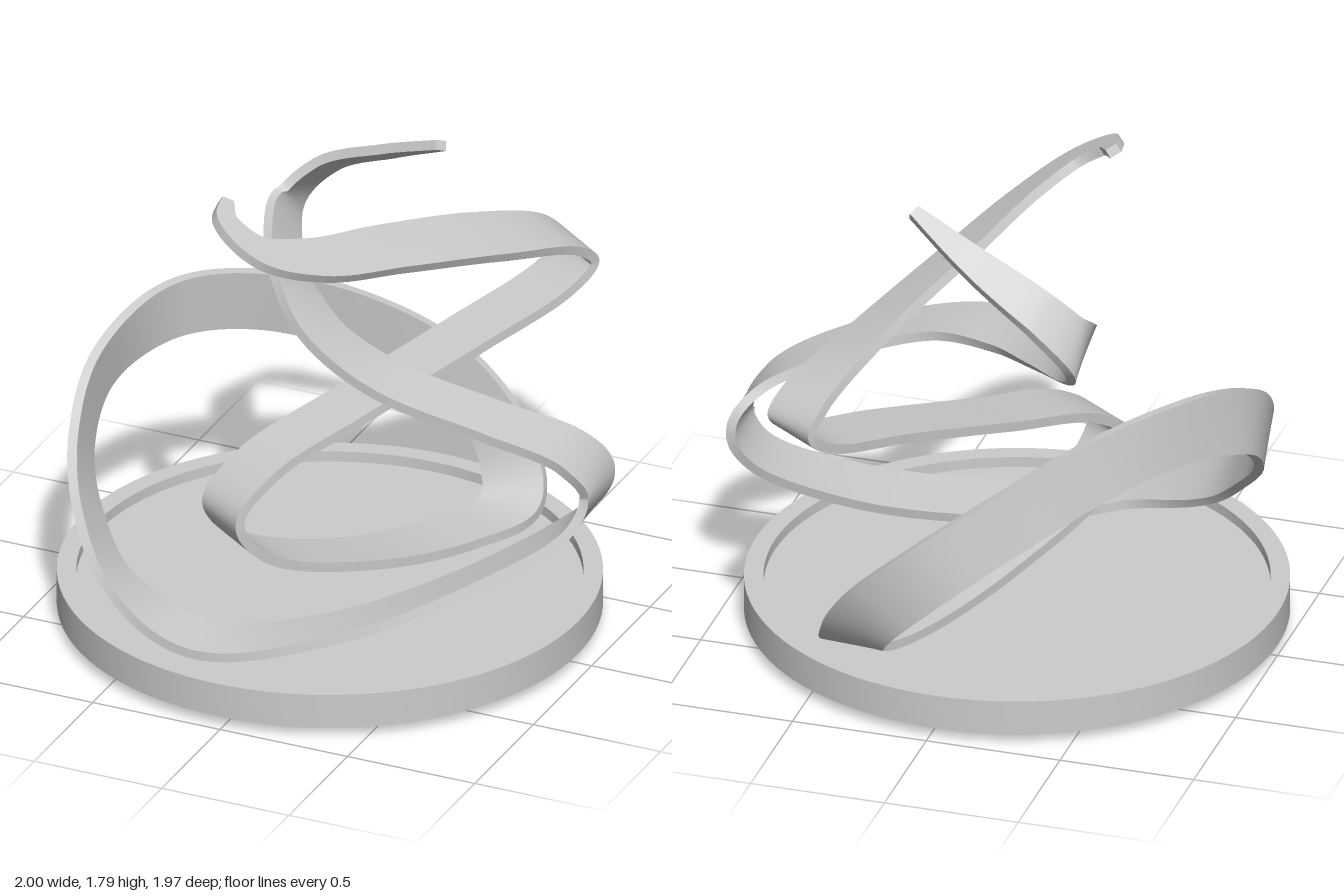
import * as THREE from 'three';
import { toCreasedNormals } from 'three/addons/utils/BufferGeometryUtils.js';

// Centre line of the ribbon, from one free tip to the other
const path = [
  [-0.28, 1.75, 0.34], [-0.235, 1.72, 0.435], [-0.1, 1.635, 0.445], [0.04, 1.55, 0.27],
  [0.18, 1.465, -0.07], [0.36, 1.35, -0.5], [0.5, 1.225, -0.84], [0.53, 1.14, -0.91],
  [0.48, 1.06, -0.82], [0.3, 0.96, -0.48], [0.05, 0.83, -0.05], [-0.16, 0.71, 0.32],
  [-0.235, 0.57, 0.46], [-0.17, 0.4, 0.36], [0.04, 0.24, 0], [0.25, 0.165, -0.42],
  [0.37, 0.195, -0.69], [0.27, 0.37, -0.83], [0.06, 0.57, -0.855], [-0.19, 0.75, -0.74],
  [-0.5, 0.92, -0.48], [-0.74, 0.965, -0.19], [-0.86, 0.86, 0.12], [-0.84, 0.68, 0.35],
  [-0.735, 0.5, 0.525], [-0.56, 0.32, 0.655], [-0.22, 0.185, 0.715], [0.2, 0.2, 0.47],
  [0.65, 0.365, 0.14], [0.92, 0.55, -0.05], [0.98, 0.69, -0.09], [0.9, 0.83, -0.02],
  [0.65, 0.955, 0.1], [0.3, 1.06, 0.165], [0, 1.125, 0.06], [-0.19, 1.185, -0.1],
  [-0.345, 1.265, -0.3], [-0.39, 1.37, -0.455], [-0.27, 1.505, -0.5], [0, 1.645, -0.44],
  [0.25, 1.765, -0.35],
];

// Direction across the ribbon at each point of the centre line
const across = [
  [0.85, -0.53, -0.3], [0.5, -0.3, -0.8], [-0.1, 0.06, -1], [-0.7, 0.43, -0.6],
  [-0.8, 0.42, -0.4], [-0.83, 0.35, -0.4], [-0.84, 0.12, -0.52], [-0.82, 0, -0.57],
  [-0.82, 0, -0.57], [-0.82, 0, -0.57], [-0.82, 0, -0.57], [-0.82, 0, -0.57],
  [-0.82, 0, -0.57], [-0.82, 0, -0.57], [-0.9, 0, -0.4], [-1, 0, -0.2],
  [-1, -0.1, 0.1], [-0.8, -0.5, 0], [-0.6, -0.75, 0.1], [-0.4, -0.9, 0.1],
  [-0.2, -1, 0], [-0.05, -1, -0.1], [-0.05, -0.8, -0.6], [-0.1, -0.55, -0.8],
  [-0.15, -0.3, -0.93], [-0.15, -0.2, -0.95], [-0.05, 0, -1], [-0.4, -0.1, -0.9],
  [-0.45, -0.2, -0.86], [-0.1, 0, -1], [0, 0, -1], [0, 0, -1],
  [0, 0, -1], [0, 0, -1], [0.3, -0.25, -0.9], [0.4, -0.5, -0.6],
  [0.2, -0.65, -0.6], [0.02, -0.5, -0.87], [0, -0.5, -0.87], [0.1, -0.5, -0.85],
  [0.1, -0.5, -0.85],
];

const toCurve = (list, type) =>
  new THREE.CatmullRomCurve3(list.map((p) => new THREE.Vector3(...p)), false, type);

// Rectangular section swept along the path, narrowing at both tips
function ribbonGeometry(steps, fullWidth, tipWidth, thickness) {
  const centre = toCurve(path, 'centripetal');
  const side = toCurve(across, 'catmullrom');
  const last = path.length - 1;
  const rings = [];
  for (let i = 0; i <= steps; i++) {
    const t = i / steps;
    const c = centre.getPoint(t);
    const tangent = centre.getTangent(t);
    const w = side.getPoint(t);
    w.addScaledVector(tangent, -w.dot(tangent)).normalize();
    const n = new THREE.Vector3().crossVectors(tangent, w);
    const fromTip = Math.min(t * last / 6, (1 - t) * last / 4, 1);
    const half = (tipWidth + (fullWidth - tipWidth) * Math.sin(fromTip * Math.PI / 2)) / 2;
    rings.push([[-1, -1], [1, -1], [1, 1], [-1, 1]].map(([a, b]) =>
      c.clone().addScaledVector(w, a * half).addScaledVector(n, b * thickness / 2)));
  }
  const positions = [];
  const index = [];
  const add = (v) => positions.push(v.x, v.y, v.z) / 3 - 1;
  // Each of the four sides has its own vertices, so the long edges stay sharp
  for (let k = 0; k < 4; k++) {
    rings.forEach((ring, i) => {
      const a = add(ring[k]);
      const b = add(ring[(k + 1) % 4]);
      if (i > 0) index.push(a - 2, b - 2, b, a - 2, b, a);
    });
  }
  // Tip caps
  const start = rings[0].map(add);
  index.push(start[0], start[2], start[1], start[0], start[3], start[2]);
  const end = rings[steps].map(add);
  index.push(end[0], end[1], end[2], end[0], end[2], end[3]);
  const g = new THREE.BufferGeometry();
  g.setAttribute('position', new THREE.Float32BufferAttribute(positions, 3));
  g.setIndex(index);
  g.computeVertexNormals();
  return g;
}

export function createModel() {
  const model = new THREE.Group();
  const grey = new THREE.MeshStandardMaterial({ color: 0xcccccc, side: THREE.DoubleSide });

  // Round tray, open underneath: outer wall, rim, and inner wall running down to the foot
  const base = new THREE.Group();
  base.name = 'base';
  base.position.set(-0.025, 0, 0.005);
  const profile = [[0.975, 0.04], [0.975, 0.17], [0.905, 0.17], [0.905, 0]]
    .map(([r, y]) => new THREE.Vector2(r, y));
  const rim = new THREE.Mesh(toCreasedNormals(new THREE.LatheGeometry(profile, 96), 0.6), grey);
  rim.name = 'rim';
  const floor = new THREE.Mesh(new THREE.CircleGeometry(0.905, 96).rotateX(-Math.PI / 2), grey);
  floor.name = 'trayFloor';
  floor.position.y = 0.13;
  base.add(rim, floor);
  model.add(base);

  // Looping ribbon
  const ribbon = new THREE.Mesh(ribbonGeometry(480, 0.235, 0.045, 0.036), grey);
  ribbon.name = 'ribbon';
  model.add(ribbon);

  return model;
}
